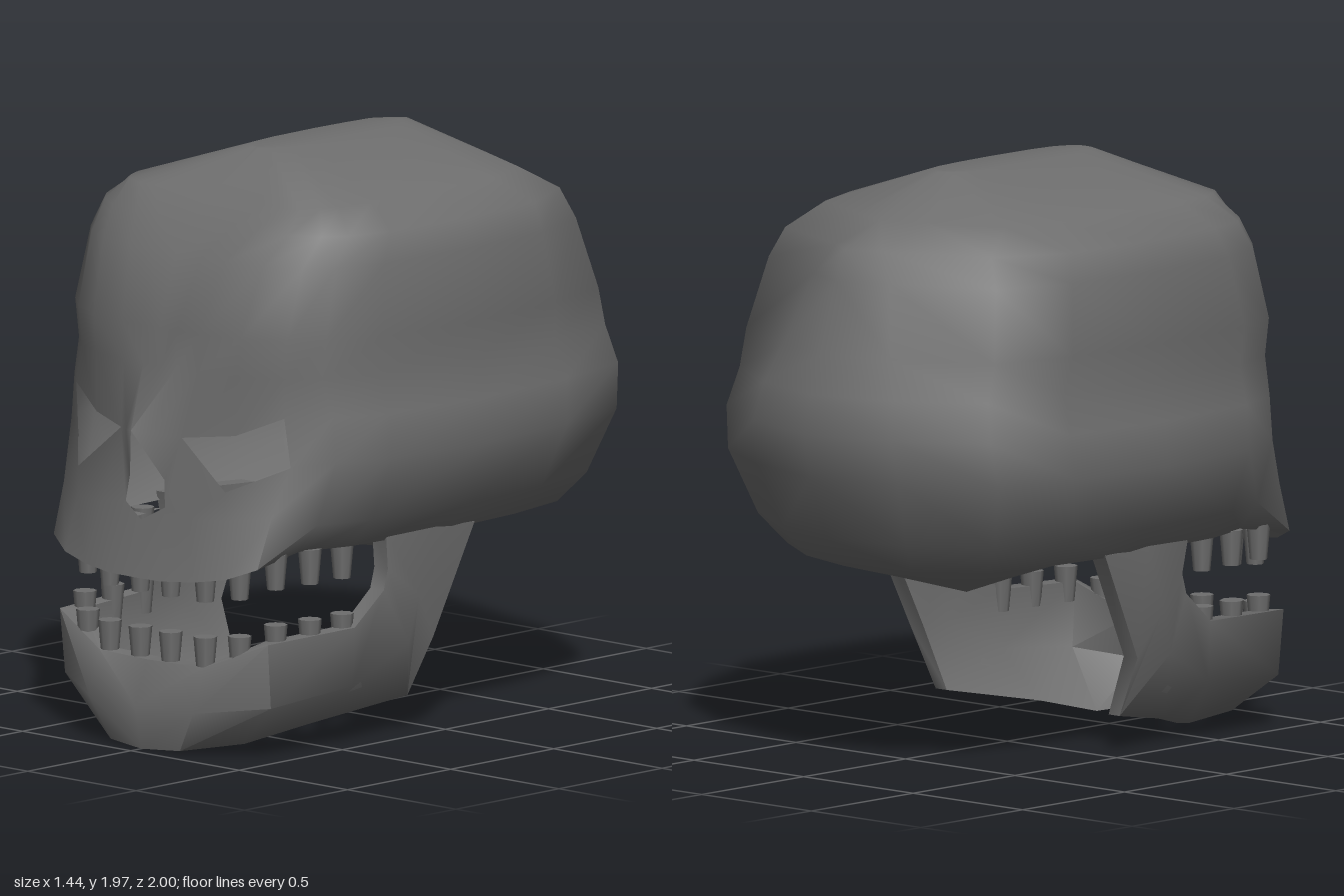
import * as THREE from 'three';
import { toCreasedNormals } from 'three/addons/utils/BufferGeometryUtils.js';

const bone = new THREE.MeshStandardMaterial({ color: 0x6e6e6e, side: THREE.DoubleSide });

// Joins rows of points into a surface and mirrors it in x; skip(row, column) leaves openings
function mirroredSurface(rows, skip = () => false) {
  const out = [];
  const tri = (a, b, c) => {
    const [A, B, C] = [a, b, c].map((p) => new THREE.Vector3(...p));
    if (new THREE.Triangle(A, B, C).getArea() < 1e-6) return;
    out.push(...a, ...b, ...c);
    for (const [x, y, z] of [a, c, b]) out.push(-x, y, z);
  };
  for (let r = 0; r < rows.length - 1; r++) {
    for (let c = 0; c < rows[r].length - 1; c++) {
      if (skip(r, c)) continue;
      const [a, b, d, e] = [rows[r][c], rows[r][c + 1], rows[r + 1][c + 1], rows[r + 1][c]];
      tri(a, b, d);
      tri(a, d, e);
    }
  }
  const geo = new THREE.BufferGeometry();
  geo.setAttribute('position', new THREE.Float32BufferAttribute(out, 3));
  return toCreasedNormals(geo, 1.1);
}

function addMesh(parent, name, geometry) {
  const mesh = new THREE.Mesh(geometry, bone);
  mesh.name = name;
  parent.add(mesh);
  return mesh;
}

function skullGeometry() {
  // Half outline seen from above, front centre to back centre
  const outline = [[0, 1], [0.12, 1], [0.27, 0.995], [0.52, 0.96], [0.74, 0.87], [0.89, 0.77],
    [1, 0.54], [1.05, 0.02], [1, -0.41], [0.9, -0.73], [0.47, -0.91], [0, -1]];
  // Levels: height, half width, front depth, back depth, and powers that square the front
  // (below 1) or narrow the back (above 1)
  const levels = [[0.7, 0.51, 0.86, 0.8, 1, 1], [0.8, 0.6, 0.85, 0.88, 1, 1],
    [1.02, 0.685, 0.84, 0.97, 1, 1], [1.17, 0.67, 0.84, 1, 1, 1],
    [1.3, 0.63, 0.86, 0.965, 1, 1], [1.43, 0.65, 0.86, 0.92, 1, 1.3],
    [1.67, 0.62, 0.78, 0.84, 0.8, 1.7], [1.77, 0.6, 0.69, 0.8, 0.6, 2.3],
    [1.85, 0.48, 0.62, 0.62, 0.3, 1.5], [1.98, 0.09, 0.39, 0.34, 1, 1], [1.98, 0, 0.39, 0.34, 1, 1]];
  const rows = levels.map(([y, w, front, back, square, narrow]) => outline.map(([x, z]) =>
    (z > 0 ? [w * x ** square, y, z * front] : [w * x ** narrow, y, z * back])));

  // Face: lip, cheek, lower eye edge and brow replace the front of the lowest levels
  const face = [
    [[0, 0.6, 0.99], [0.12, 0.6, 0.985], [0.25, 0.61, 0.96], [0.37, 0.63, 0.93], [0.47, 0.67, 0.88]],
    [[0, 0.79, 0.95], [0.09, 0.84, 0.93], [0.2, 0.82, 0.93], [0.34, 0.82, 0.9], [0.48, 0.84, 0.82]],
    [[0.08, 0.93, 0.92], [0.08, 0.93, 0.92], [0.14, 1.08, 0.9], [0.34, 0.92, 0.9], [0.49, 1, 0.74]],
    [[0, 1.1, 1], [0.06, 1.09, 0.96], [0.14, 1.08, 0.9], [0.32, 1.1, 0.83], [0.48, 1.17, 0.76]],
  ];
  face.forEach((points, r) => points.forEach((p, c) => { rows[r][c] = p; }));

  // Underside: inner lip in front, sloping base behind with a small lobe reaching forward
  const under = rows[0].map(([x, y, z], c) => (c < 7
    ? [x * 0.88, 0.69, z - 0.08]
    : [x * 0.55, 0.63, THREE.MathUtils.lerp(z, -0.2, 0.45)]));
  under[7] = [0.24, 0.64, -0.02];
  const base = rows[0].map(() => [0, 0.54, -0.2]);
  base[7] = [0, 0.62, 0.18];
  rows.unshift(base, under);

  return mirroredSurface(rows, (r, c) =>
    (r === 0 && c < 7) ||                   // open mouth roof
    (r === 1 && c === 6) ||                 // gap between lip and base
    (r === 3 && c === 0) ||                 // nose
    (r === 4 && (c === 2 || c === 3)));     // eye
}

function jawGeometry() {
  // Outer bottom, middle and top, from the chin round to the hinge
  const outer = [
    [[0, 0.01, 0.95], [0.16, 0.02, 0.93], [0.21, 0.015, 0.67], [0.3, 0.065, 0.45],
      [0.42, 0.13, 0.1], [0.52, 0.34, 0.08], [0.54, 0.71, -0.1]],
    [[0, 0.16, 0.98], [0.24, 0.16, 0.95], [0.475, 0.19, 0.82], [0.5, 0.22, 0.45],
      [0.54, 0.34, 0.22], [0.55, 0.5, 0.18], [0.55, 0.72, 0.1]],
    [[0, 0.31, 0.92], [0.24, 0.31, 0.9], [0.48, 0.41, 0.84], [0.51, 0.42, 0.45],
      [0.52, 0.53, 0.32], [0.52, 0.6, 0.3], [0.53, 0.73, 0.32]],
  ];
  const inward = (row) => row.map(([x, y, z]) =>
    [x * 0.88, y, z - 0.12 * Math.max(0, z - 0.4)]);
  const rows = [...outer, ...outer.map(inward).reverse(), outer[0]];
  return mirroredSurface(rows.map((row) => [...row, [0.51, 0.72, 0.1]])); // closed hinge end
}

// Tapered teeth: x, z, centre height of upper tooth, centre height of lower tooth
const teeth = [[0.07, 0.88, 0.59, 0.35], [0.22, 0.87, 0.59, 0.35], [0.35, 0.84, 0.61, 0.365],
  [0.44, 0.76, 0.645, 0.405], [0.455, 0.61, 0.645, 0.405], [0.46, 0.46, 0.645, 0.405]];

export function createModel() {
  const model = new THREE.Group();
  model.name = 'skull';
  addMesh(model, 'cranium', skullGeometry());
  addMesh(model, 'lowerJaw', jawGeometry());

  const toothGeo = new THREE.CylinderGeometry(0.04, 0.029, 0.12, 8);
  for (const side of [1, -1]) {
    for (const [x, z, upperY, lowerY] of teeth) {
      addMesh(model, 'upperTooth', toothGeo).position.set(side * x, upperY, z);
      addMesh(model, 'lowerTooth', toothGeo).position.set(side * x, lowerY, z);
    }
  }
  return model;
}
